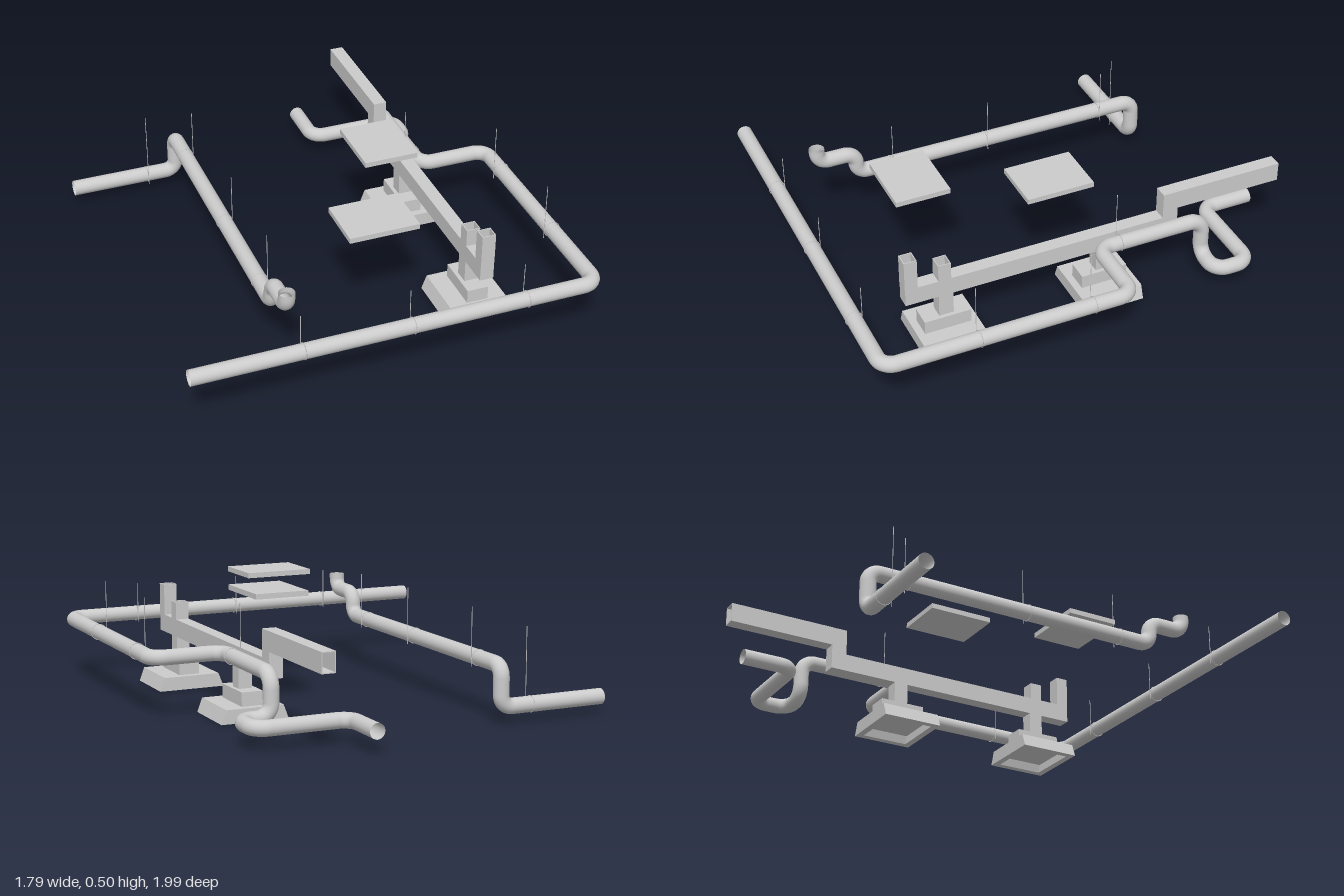
import * as THREE from 'three';

const grey = new THREE.MeshStandardMaterial({ color: 0xcccccc, side: THREE.DoubleSide });
const flat = new THREE.MeshStandardMaterial({ color: 0xcccccc, side: THREE.DoubleSide, flatShading: true });
const V = (x, y, z) => new THREE.Vector3(x, y, z);

// Walks a list of points at even steps, so the tube keeps exact straights and bends
class PolyCurve extends THREE.Curve {
  constructor(points) { super(); this.points = points; }
  getPoint(t, target = new THREE.Vector3()) {
    const n = this.points.length - 1;
    const f = Math.min(Math.max(t, 0), 1) * n;
    const i = Math.min(Math.floor(f), n - 1);
    return target.lerpVectors(this.points[i], this.points[i + 1], f - i);
  }
  getPointAt(t, target) { return this.getPoint(t, target); }
  getTangentAt(t, target) { return this.getTangent(t, target); }
}

// Open-ended pipe through corner points with rounded elbows
function pipe(name, corners, radius, bend) {
  const pts = [corners[0]];
  for (let i = 1; i < corners.length - 1; i++) {
    const c = corners[i];
    const a = corners[i - 1].clone().sub(c).normalize().multiplyScalar(bend);
    const b = corners[i + 1].clone().sub(c).normalize().multiplyScalar(bend);
    for (let k = 0; k <= 8; k++) {
      const t = (k / 8) * Math.PI / 2;
      pts.push(c.clone().addScaledVector(a, 1 - Math.sin(t)).addScaledVector(b, 1 - Math.cos(t)));
    }
  }
  pts.push(corners[corners.length - 1]);
  const mesh = new THREE.Mesh(new THREE.TubeGeometry(new PolyCurve(pts), pts.length - 1, radius, 20), grey);
  mesh.name = name;
  return mesh;
}

// Box given by its limits on each axis
function box(name, x0, x1, y0, y1, z0, z1) {
  const mesh = new THREE.Mesh(new THREE.BoxGeometry(x1 - x0, y1 - y0, z1 - z0), flat);
  mesh.position.set((x0 + x1) / 2, (y0 + y1) / 2, (z0 + z1) / 2);
  mesh.name = name;
  return mesh;
}

function rect(w, h, Type = THREE.Shape) {
  return new Type([[-w, -h], [w, -h], [w, h], [-w, h]].map(p => new THREE.Vector2(p[0] / 2, p[1] / 2)));
}

// Hollow rectangular duct running along +z from the origin
function duct(name, w, h, length) {
  const shape = rect(w, h);
  shape.holes.push(rect(w - 0.008, h - 0.008, THREE.Path));
  const mesh = new THREE.Mesh(new THREE.ExtrudeGeometry(shape, { depth: length, bevelEnabled: false }), flat);
  mesh.name = name;
  return mesh;
}

// Stepped foot: hollow base with sloping sides, block and neck
function pedestal(z) {
  const g = new THREE.Group();
  g.name = 'pedestal';
  const shape = rect(0.3, 0.27);
  shape.holes.push(rect(0.24, 0.21, THREE.Path));
  const geo = new THREE.ExtrudeGeometry(shape, { depth: 0.06, bevelEnabled: false });
  geo.rotateX(-Math.PI / 2);
  const p = geo.attributes.position;
  for (let i = 0; i < p.count; i++) if (p.getY(i) > 0.03) p.setX(i, p.getX(i) * 0.85);
  geo.computeVertexNormals();
  const base = new THREE.Mesh(geo, flat);
  base.name = 'pedestalBase';
  g.add(
    base,
    box('basePlate', -0.125, 0.125, 0.035, 0.06, -0.13, 0.13),
    box('pedestalBlock', -0.047, 0.047, 0.06, 0.12, -0.103, 0.103),
    box('pedestalNeck', -0.03, 0.03, 0.12, 0.225, -0.032, 0.032)
  );
  g.position.set(0.473, 0, z);
  return g;
}

// Thin clamp ring round a pipe with a hanger rod at its side
function hanger(center, axis, side, top) {
  const g = new THREE.Group();
  g.name = 'hanger';
  const ring = new THREE.Mesh(new THREE.TorusGeometry(0.035, 0.0015, 4, 20), grey);
  ring.name = 'hangerRing';
  ring.position.copy(center);
  if (axis === 'x') ring.rotation.y = Math.PI / 2;
  const bottom = center.y - 0.035;
  const rod = new THREE.Mesh(new THREE.CylinderGeometry(0.0015, 0.0015, top - bottom, 6), grey);
  rod.name = 'hangerRod';
  rod.position.set(center.x, (top + bottom) / 2, center.z);
  rod.position[axis === 'x' ? 'z' : 'x'] += side * 0.036;
  g.add(ring, rod);
  return g;
}

export function createModel() {
  const model = new THREE.Group();
  model.name = 'pipework';

  // Long pipe wrapping the front and left side, then stepping down at the back
  model.add(pipe('longPipe', [
    V(-0.88, 0.265, 0.955), V(0.855, 0.265, 0.955), V(0.855, 0.265, -0.12), V(0.54, 0.265, -0.12),
    V(0.54, 0.265, -0.61), V(0.54, 0.09, -0.61), V(0.68, 0.09, -0.61), V(0.68, 0.09, -0.77),
    V(0.27, 0.09, -0.77), V(0.27, 0.09, -1)
  ], 0.033, 0.06));

  // Side pipe with a raised front end and a dropped back end
  model.add(pipe('sidePipe', [
    V(-0.9, 0.07, -0.767), V(-0.415, 0.07, -0.767), V(-0.415, 0.243, -0.767), V(-0.415, 0.243, 0.59),
    V(-0.415, 0.345, 0.59), V(-0.415, 0.345, 0.765), V(-0.415, 0.415, 0.765)
  ], 0.034, 0.05));

  // Low duct, its risers and the raised back duct
  model.add(box('lowDuct', 0.443, 0.503, 0.22, 0.298, -0.51, 0.722));
  for (const [z, top] of [[0.695, 0.435], [0.55, 0.375]]) {
    const riser = duct('openRiser', 0.06, 0.056, top - 0.298);
    riser.rotation.x = -Math.PI / 2;
    riser.position.set(0.473, 0.298, z);
    model.add(riser);
  }
  model.add(box('ductStep', 0.443, 0.503, 0.298, 0.415, -0.51, -0.44));
  const upper = duct('raisedDuct', 0.06, 0.085, 0.485);
  upper.position.set(0.473, 0.373, -0.993);
  model.add(upper);

  for (const z of [0.547, -0.163]) model.add(pedestal(z));

  // Floating flat panels
  model.add(
    box('frontPanel', -0.1, 0.203, 0.482, 0.505, 0.395, 0.635),
    box('backPanel', 0.167, 0.407, 0.482, 0.505, -0.16, 0.138)
  );

  // Hangers along both pipes
  for (const x of [-0.415, 0.045, 0.54]) model.add(hanger(V(x, 0.265, 0.955), 'x', -1, 0.41));
  for (const z of [0.055, 0.55]) model.add(hanger(V(0.855, 0.265, z), 'z', -1, 0.49));
  model.add(hanger(V(0.54, 0.265, -0.22), 'z', -1, 0.485));
  for (const z of [0.43, -0.025, -0.585]) model.add(hanger(V(-0.415, 0.243, z), 'z', 1, 0.46));
  model.add(hanger(V(-0.555, 0.07, -0.767), 'x', 1, 0.39));

  return model;
}
